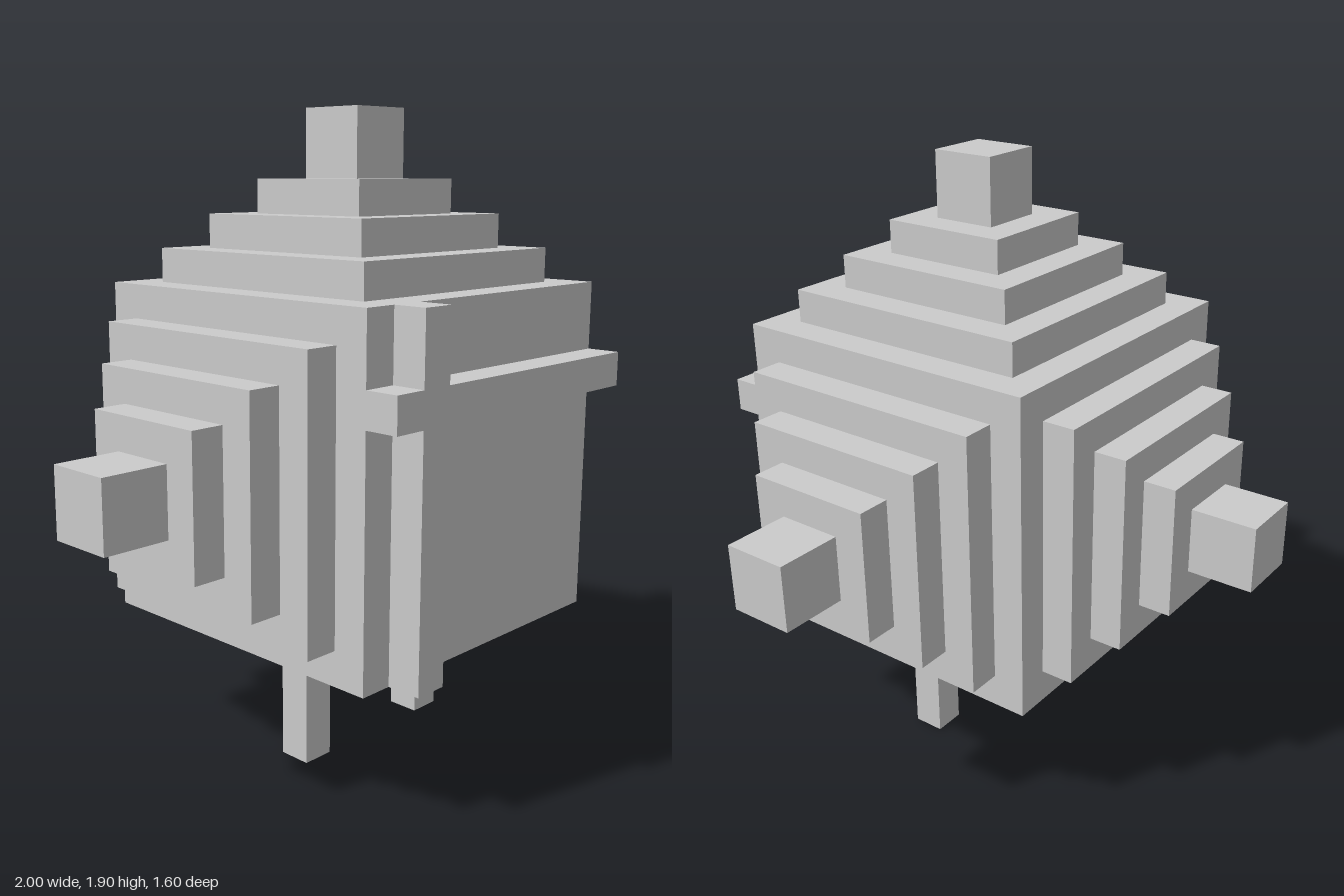
import * as THREE from 'three';

const material = new THREE.MeshStandardMaterial({ color: 0xcccccc, flatShading: true });

function addBox(parent, name, size, position) {
  const mesh = new THREE.Mesh(new THREE.BoxGeometry(...size), material);
  mesh.name = name;
  mesh.position.set(...position);
  parent.add(mesh);
  return mesh;
}

// Stepped pyramid along local +y, ending in a small cube
function steppedPyramid(name) {
  const group = new THREE.Group();
  group.name = name;
  [0.8, 0.6, 0.4].forEach((width, i) =>
    addBox(group, 'step' + (i + 1), [width, 0.1, width], [0, 0.55 + i * 0.1, 0]));
  addBox(group, 'tip', [0.2, 0.2, 0.2], [0, 0.9, 0]);
  return group;
}

export function createModel() {
  const model = new THREE.Group();
  model.name = 'steppedCube';

  // Cube body with a pyramid on four of its faces
  const body = new THREE.Group();
  body.name = 'body';
  body.position.set(0, 0.9, 0.2);
  model.add(body);
  addBox(body, 'core', [1, 1, 1], [0, 0, 0]);

  const pyramids = [
    ['topPyramid', 0, 0],
    ['leftPyramid', 0, -Math.PI / 2],
    ['rightPyramid', 0, Math.PI / 2],
    ['backPyramid', -Math.PI / 2, 0],
  ];
  for (const [name, rx, rz] of pyramids) {
    const pyramid = steppedPyramid(name);
    pyramid.rotation.set(rx, 0, rz);
    body.add(pyramid);
  }

  // Raised off-centre cross on the front face
  const outline = [
    [-0.4, 0.4], [-0.3, 0.4], [-0.3, 1.1], [0.5, 1.1], [0.5, 1.2], [-0.3, 1.2],
    [-0.3, 1.4], [-0.4, 1.4], [-0.4, 1.2], [-0.5, 1.2], [-0.5, 1.1], [-0.4, 1.1],
  ].map(([x, y]) => new THREE.Vector2(x, y));
  const cross = new THREE.Mesh(
    new THREE.ExtrudeGeometry(new THREE.Shape(outline), { depth: 0.1, bevelEnabled: false }),
    material);
  cross.name = 'frontCross';
  cross.position.z = 0.7;
  model.add(cross);

  // Two legs
  for (const side of [-1, 1]) {
    addBox(model, side > 0 ? 'leftLeg' : 'rightLeg', [0.1, 0.4, 0.1], [side * 0.25, 0.2, 0.25]);
  }

  return model;
}
